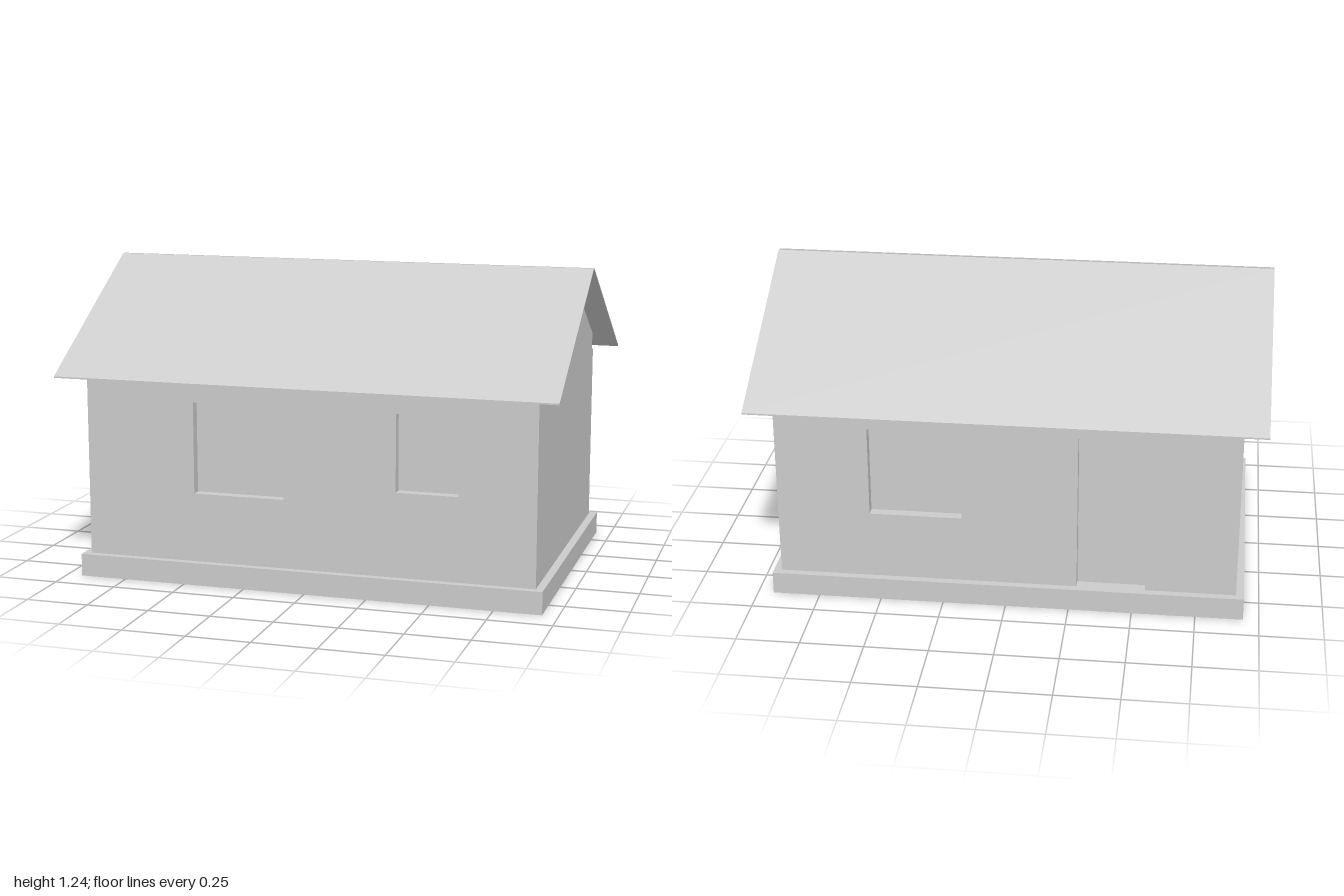
import * as THREE from 'three';

const WX = 0.907, WZ = 0.605;          // outer half sizes of the walls
const BASE = 0.09, WALL = 0.82;        // plinth top, wall top
const SKIN = 0.04, LINING = 0.03;      // recessed outer skin, solid inner lining
const SLOPE = 0.586, RIDGE = 1.235;
const roofY = (z) => RIDGE - SLOPE * (Math.abs(z) - 0.008);

const material = new THREE.MeshStandardMaterial({ color: 0xcccccc, flatShading: true });

function add(parent, name, geometry) {
  const mesh = new THREE.Mesh(geometry, material);
  mesh.name = name;
  parent.add(mesh);
  return mesh;
}

function polygon(points) {
  return new THREE.Shape(points.map(([x, y]) => new THREE.Vector2(x, y)));
}

function extrude(shape, depth) {
  return new THREE.ExtrudeGeometry(shape, { depth, bevelEnabled: false });
}

// A wall facing local +z: outer skin with openings, backed by a plain lining.
function makeWall(name, outline, openings, distance) {
  const wall = new THREE.Group();
  wall.name = name;
  const outer = polygon(outline);
  for (const [x0, x1, y0, y1] of openings) {
    outer.holes.push(new THREE.Path([
      new THREE.Vector2(x0, y0), new THREE.Vector2(x0, y1),
      new THREE.Vector2(x1, y1), new THREE.Vector2(x1, y0),
    ]));
  }
  add(wall, name + 'Skin', extrude(outer, SKIN)).position.z = distance - SKIN;
  add(wall, name + 'Lining', extrude(polygon(outline), LINING)).position.z = distance - SKIN - LINING;
  return wall;
}

export function createModel() {
  const house = new THREE.Group();
  house.name = 'house';

  // Plinth
  add(house, 'plinth', new THREE.BoxGeometry(1.876, BASE, 1.27)).position.y = BASE / 2;

  // Long walls, fitted between the gables
  const half = WX - SKIN - LINING;
  const rect = [[-half, BASE], [half, BASE], [half, WALL], [-half, WALL]];
  house.add(makeWall('frontWall', rect, [[-0.46, -0.09, 0.365, 0.73], [0.36, 0.605, 0.425, 0.73]], WZ));

  // The back wall's doorway is cut into its lower edge
  const d0 = 0.28, d1 = 0.55, dTop = 0.735;
  const backWall = makeWall('backWall', rect, [], WZ);
  backWall.remove(backWall.children[0]);
  const backSkin = polygon([[-half, BASE], [d0, BASE], [d0, dTop], [d1, dTop], [d1, BASE],
    [half, BASE], [half, WALL], [-half, WALL]]);
  backSkin.holes.push(new THREE.Path([
    new THREE.Vector2(-0.54, 0.365), new THREE.Vector2(-0.54, 0.73),
    new THREE.Vector2(-0.175, 0.73), new THREE.Vector2(-0.175, 0.365),
  ]));
  add(backWall, 'backWallSkin', extrude(backSkin, SKIN)).position.z = WZ - SKIN;
  backWall.rotation.y = Math.PI;
  house.add(backWall);

  // Gable walls, stepped in at the eaves
  const eave = 0.58, under = 0.008;
  const gable = [[-WZ, BASE], [WZ, BASE], [WZ, WALL], [eave, WALL], [eave, roofY(eave) - under],
    [0, roofY(0.008) - under], [-eave, roofY(eave) - under], [-eave, WALL], [-WZ, WALL]];
  const plainGable = makeWall('leftGable', gable, [], WX);
  plainGable.rotation.y = Math.PI / 2;
  const windowGable = makeWall('rightGable', gable, [[-0.183, 0.183, 0.365, 0.73]], WX);
  windowGable.rotation.y = -Math.PI / 2;
  house.add(plainGable, windowGable);

  // Rafter pairs resting on the long walls
  const drop = roofY(eave) - WALL;
  const rafterShape = polygon([[-eave, WALL], [0, roofY(0.008) - drop], [eave, WALL],
    [eave, roofY(eave) - under], [0, roofY(0.008) - under], [-eave, roofY(eave) - under]]);
  const width = 0.024;
  for (let i = 0; i < 10; i++) {
    const rafter = add(house, 'rafterPair', extrude(rafterShape, width));
    rafter.rotation.y = Math.PI / 2;
    rafter.position.x = -0.81 + i * 0.18 - width / 2;
  }

  // Two thin roof slopes with a narrow slit at the ridge
  const t = 0.006;
  for (const side of [1, -1]) {
    const slope = polygon([[side * 0.008, RIDGE], [side * 0.71, roofY(0.71)],
      [side * 0.71, roofY(0.71) - t], [side * 0.008, RIDGE - t]]);
    const roof = add(house, side > 0 ? 'backRoofSlope' : 'frontRoofSlope', extrude(slope, 2));
    roof.rotation.y = Math.PI / 2;
    roof.position.x = -1;
  }

  return house;
}
